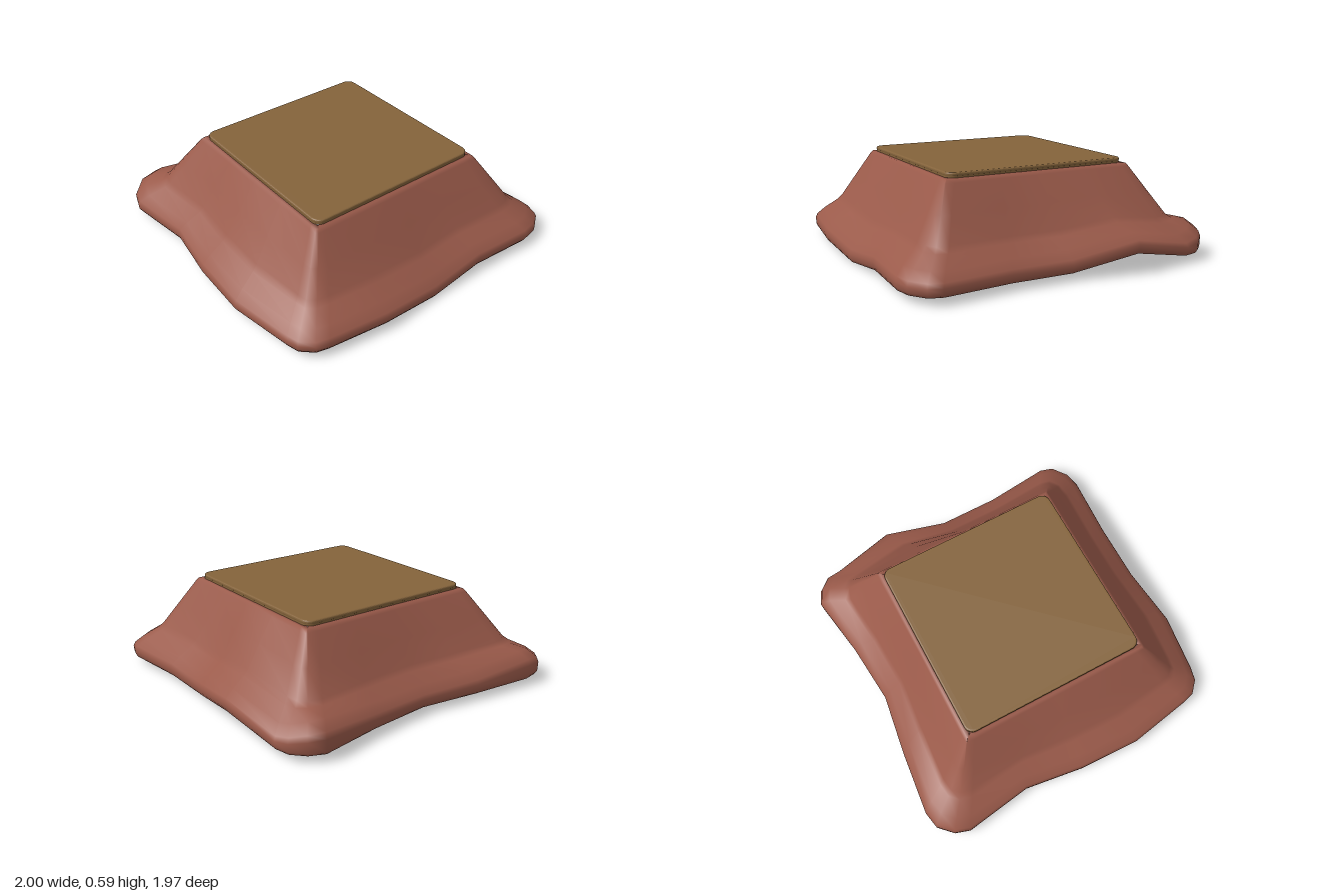
import * as THREE from 'three';

// Hem outline seen from above: [x, z, lift of the hem, extra puff of the outer surface]
const HEM = [
  [-0.78, -0.98, 0, 0.05], [-0.38, -0.94, 0, 0.01], [0, -0.885, 0, 0], [0.38, -0.92, 0, 0.01], [0.76, -0.985, 0, 0.05],
  [0.85, -0.945, 0, 0.04], [0.92, -0.87, 0, 0.02], [0.94, -0.78, 0, 0],
  [0.995, -0.39, 0.08, 0], [0.925, 0, 0, 0], [0.925, 0.38, 0, 0], [0.97, 0.79, 0, 0],
  [0.945, 0.87, 0, 0], [0.85, 0.94, 0, 0], [0.75, 0.96, 0, 0],
  [0.36, 0.94, 0, 0], [0, 0.955, -0.045, 0], [-0.4, 0.98, 0, 0], [-0.76, 0.935, 0, 0],
  [-0.84, 0.915, 0, 0], [-0.91, 0.85, 0, 0], [-0.93, 0.78, 0, 0],
  [-1, 0.38, 0, 0], [-0.985, 0, 0, 0], [-0.93, -0.37, 0, 0], [-0.99, -0.79, 0, 0],
  [-0.96, -0.88, 0, 0.02], [-0.88, -0.96, 0, 0.04],
];

// Cloth profile: [blend from top edge (0) to hem (1), height, share of puff]
const PROFILE = [
  [-0.07, 0.562, 0], [0, 0.558, 0], [0.04, 0.54, 0], [0.3, 0.392, 0], [0.54, 0.255, 0], [0.62, 0.225, 0.2],
  [0.84, 0.165, 1], [0.97, 0.12, 1], [1, 0.095, 0.8], [0.995, 0.065, 0], [0.965, 0.045, 0],
  [0.93, 0.06, 0], [0.8, 0.13, 0], [0.58, 0.2, 0], [0.28, 0.365, 0], [-0.07, 0.535, 0],
];

// Closed cloth shell: the profile swept around the hem outline
function blanketGeometry() {
  const n = HEM.length, m = PROFILE.length;
  const pos = [], index = [];
  const edge = (v) => THREE.MathUtils.clamp(v * 0.68, -0.585, 0.585);
  for (const [f, y, puff] of PROFILE) {
    for (const [x, z, lift, extra] of HEM) {
      const tx = edge(x), tz = edge(z) + 0.01;
      pos.push(tx + (x - tx) * f, y + lift * Math.max(f, 0) + extra * puff, tz + (z - tz) * f);
    }
  }
  for (let j = 0; j < m; j++) {
    for (let i = 0; i < n; i++) {
      const k = (i + 1) % n, l = (j + 1) % m;
      const a = j * n + i, b = j * n + k, c = l * n + k, d = l * n + i;
      index.push(a, b, d, b, c, d);
    }
  }
  const g = new THREE.BufferGeometry();
  g.setAttribute('position', new THREE.Float32BufferAttribute(pos, 3));
  g.setIndex(index);
  g.computeVertexNormals();
  return g;
}

// Rounded square, half side h and corner radius r
function roundedSquare(h, r, Type = THREE.Shape) {
  const s = new Type();
  s.absarc(h - r, h - r, r, 0, Math.PI / 2);
  s.absarc(r - h, h - r, r, Math.PI / 2, Math.PI);
  s.absarc(r - h, r - h, r, Math.PI, Math.PI * 1.5);
  s.absarc(h - r, r - h, r, Math.PI * 1.5, Math.PI * 2);
  s.closePath();
  return s;
}

export function createModel() {
  const model = new THREE.Group();
  const cloth = new THREE.MeshStandardMaterial({ color: 0x9a5a4a });
  cloth.name = 'redCloth';
  const wood = new THREE.MeshStandardMaterial({ color: 0x84633b });
  wood.name = 'brownWood';

  const add = (name, geometry, material) => {
    const mesh = new THREE.Mesh(geometry, material);
    mesh.name = name;
    model.add(mesh);
    return mesh;
  };

  add('blanket', blanketGeometry(), cloth);

  // Square board with softened edges
  const board = new THREE.ExtrudeGeometry(roundedSquare(0.562, 0.045), {
    depth: 0.006, bevelEnabled: true, bevelThickness: 0.008, bevelSize: 0.01, bevelSegments: 3, curveSegments: 6,
  });
  board.rotateX(-Math.PI / 2);
  add('tableTop', board, wood).position.set(0, 0.576, 0.01);

  // Rim under the board
  const rim = roundedSquare(0.57, 0.05);
  rim.holes.push(roundedSquare(0.545, 0.04, THREE.Path));
  const rimGeometry = new THREE.ExtrudeGeometry(rim, { depth: 0.014, bevelEnabled: false, curveSegments: 6 });
  rimGeometry.rotateX(-Math.PI / 2);
  add('tableRim', rimGeometry, wood).position.set(0, 0.56, 0.01);

  return model;
}
